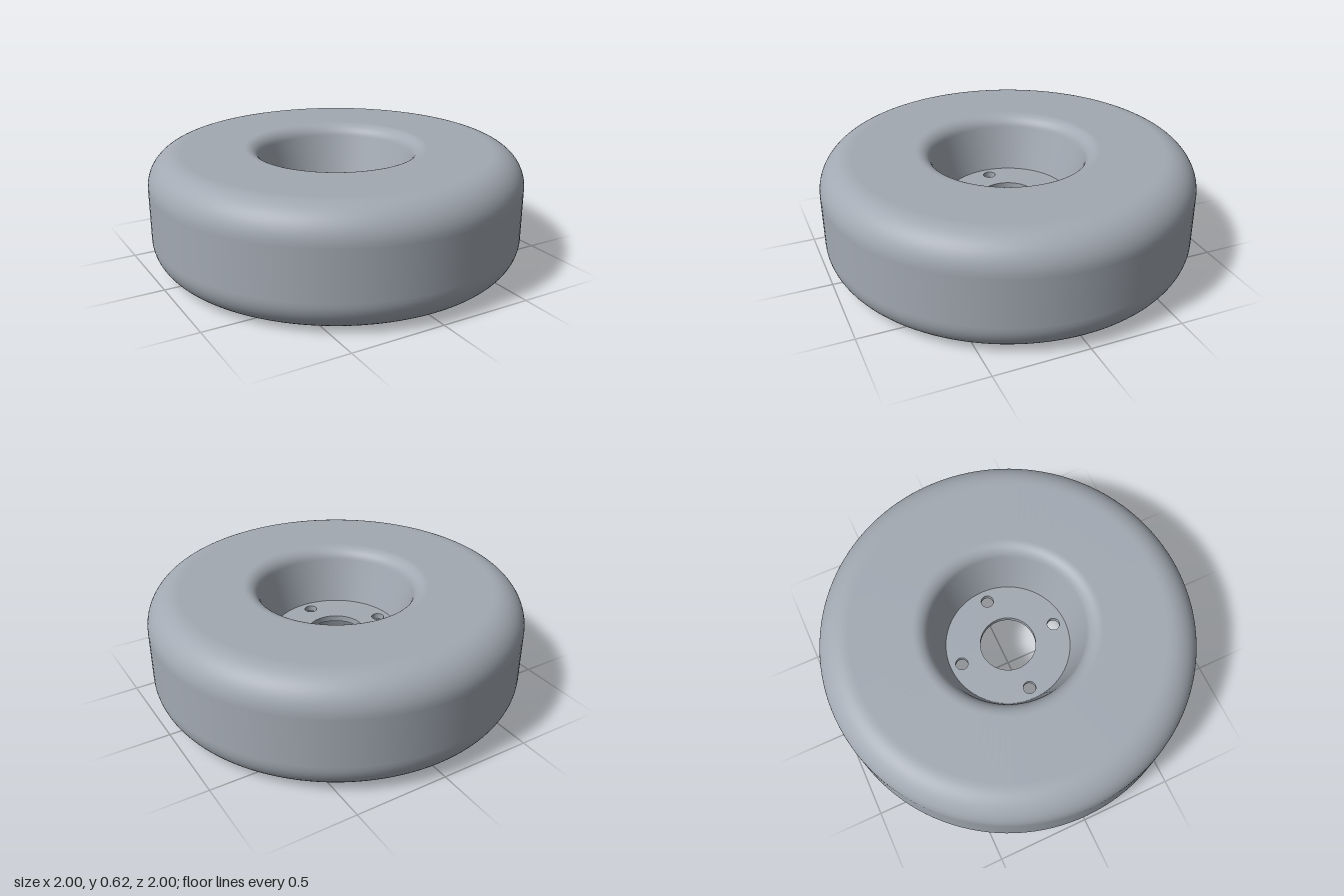
import * as THREE from 'three';

const HEIGHT = 0.616;
const HALF = HEIGHT / 2;
const HUB_RADIUS = 0.34;
const HUB_HALF = 0.016;

// Points along a fillet, angles in degrees, as (radius, height from mid-plane)
function fillet(cx, cy, r, from, to, steps) {
  return Array.from({ length: steps + 1 }, (_, i) => {
    const a = THREE.MathUtils.degToRad(from + ((to - from) * i) / steps);
    return new THREE.Vector2(cx + r * Math.cos(a), cy + r * Math.sin(a));
  });
}

// Short runs beside each fillet keep the flat spans evenly shaded
function withFlatSpans(points) {
  const out = [];
  points.forEach((p, i) => {
    out.push(p);
    const q = points[i + 1];
    if (q && p.distanceTo(q) > 0.1) {
      out.push(p.clone().lerp(q, 0.02), p.clone().lerp(q, 0.98));
    }
  });
  return out;
}

export function createModel() {
  const gray = new THREE.MeshStandardMaterial({ color: 0xa2a9b2 });
  gray.name = 'grayMetal';
  const group = new THREE.Group();
  group.name = 'wheel';

  // Upper half of the section, from the tread over the shoulder into the recess
  const upper = [
    ...fillet(0.83, HALF - 0.17, 0.17, 0, 90, 16),
    ...fillet(0.488, HALF - 0.08, 0.08, 90, 163, 12),
    new THREE.Vector2(HUB_RADIUS, HUB_HALF),
  ];
  const lower = upper.map((p) => new THREE.Vector2(p.x, -p.y)).reverse();
  const tire = new THREE.Mesh(
    new THREE.LatheGeometry(withFlatSpans([...lower, ...upper]), 128),
    gray
  );
  tire.name = 'tire';
  tire.position.y = HALF;
  group.add(tire);

  // Hub plate with a centre bore and four bolt holes
  const plate = new THREE.Shape().absarc(0, 0, HUB_RADIUS, 0, Math.PI * 2, false);
  const addHole = (x, y, r) =>
    plate.holes.push(new THREE.Path().absarc(x, y, r, 0, Math.PI * 2, true));
  addHole(0, 0, 0.152);
  for (let i = 0; i < 4; i++) {
    const a = (i * Math.PI) / 2;
    addHole(0.276 * Math.cos(a), 0.276 * Math.sin(a), 0.034);
  }
  const hubGeometry = new THREE.ExtrudeGeometry(plate, {
    depth: HUB_HALF * 2,
    bevelEnabled: false,
    curveSegments: 64,
  });
  hubGeometry.rotateX(-Math.PI / 2);
  const hub = new THREE.Mesh(hubGeometry, gray);
  hub.name = 'hubPlate';
  hub.position.y = HALF - HUB_HALF;
  group.add(hub);

  return group;
}
